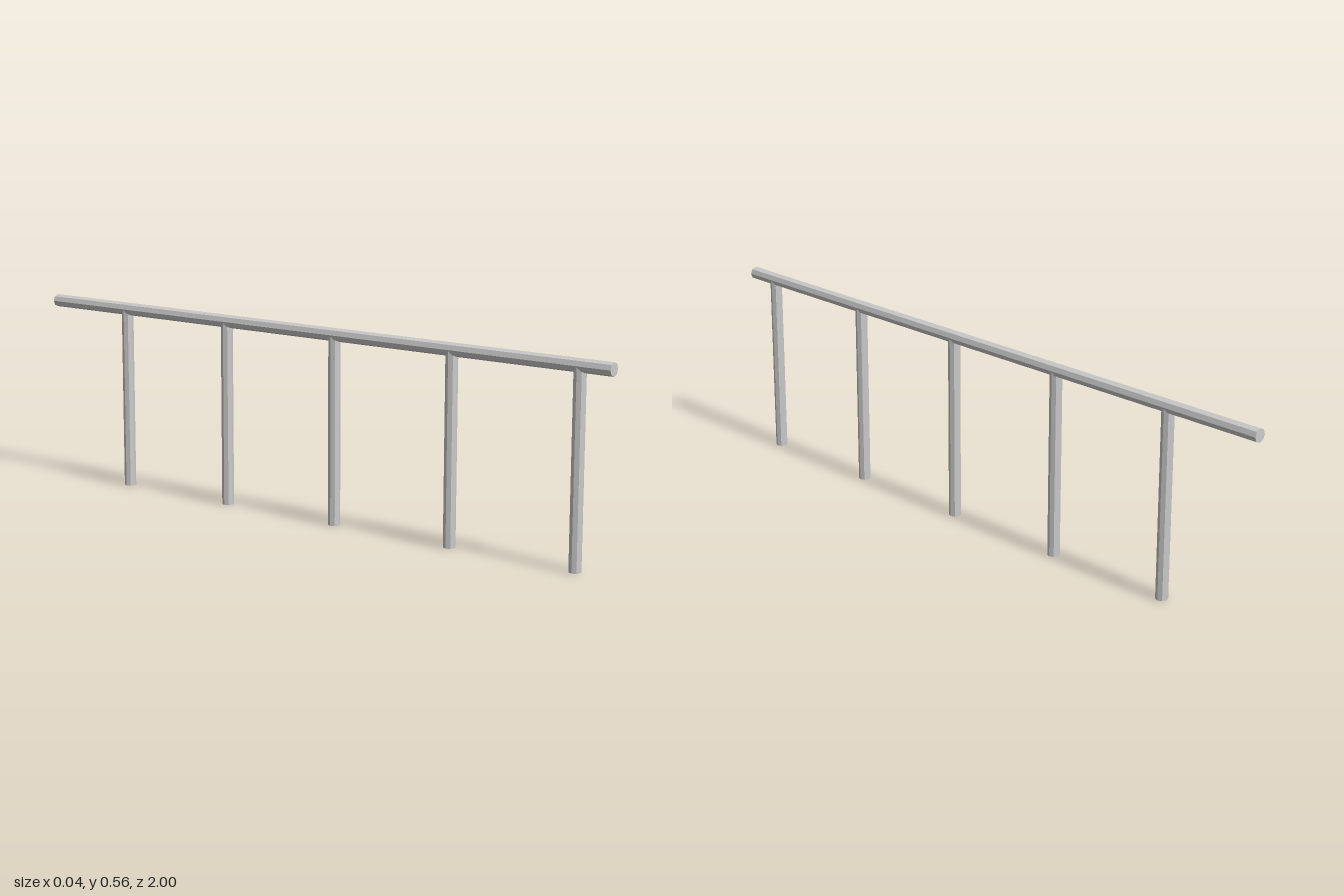
import * as THREE from 'three';

export function createModel() {
  const model = new THREE.Group();
  model.name = 'handrail';

  const railMaterial = new THREE.MeshStandardMaterial({ color: 0xcccccc, flatShading: true });
  const postMaterial = railMaterial.clone();
  postMaterial.side = THREE.DoubleSide;

  // Octagonal top rail running front to back
  const railY = 0.546;
  const rail = new THREE.Mesh(new THREE.CylinderGeometry(0.019, 0.019, 2, 8), railMaterial);
  rail.name = 'topRail';
  rail.rotation.x = Math.PI / 2;
  rail.position.y = railY;
  model.add(rail);

  // Open tube posts, evenly spaced, ending inside the rail
  const postHeight = 0.542;
  const postGeometry = new THREE.CylinderGeometry(0.0175, 0.0175, postHeight, 8, 1, true);
  for (let i = 0; i < 5; i++) {
    const post = new THREE.Mesh(postGeometry, postMaterial);
    post.name = `post${i + 1}`;
    post.position.set(0, postHeight / 2, 0.9 - 0.4 * i);
    model.add(post);
  }

  return model;
}
